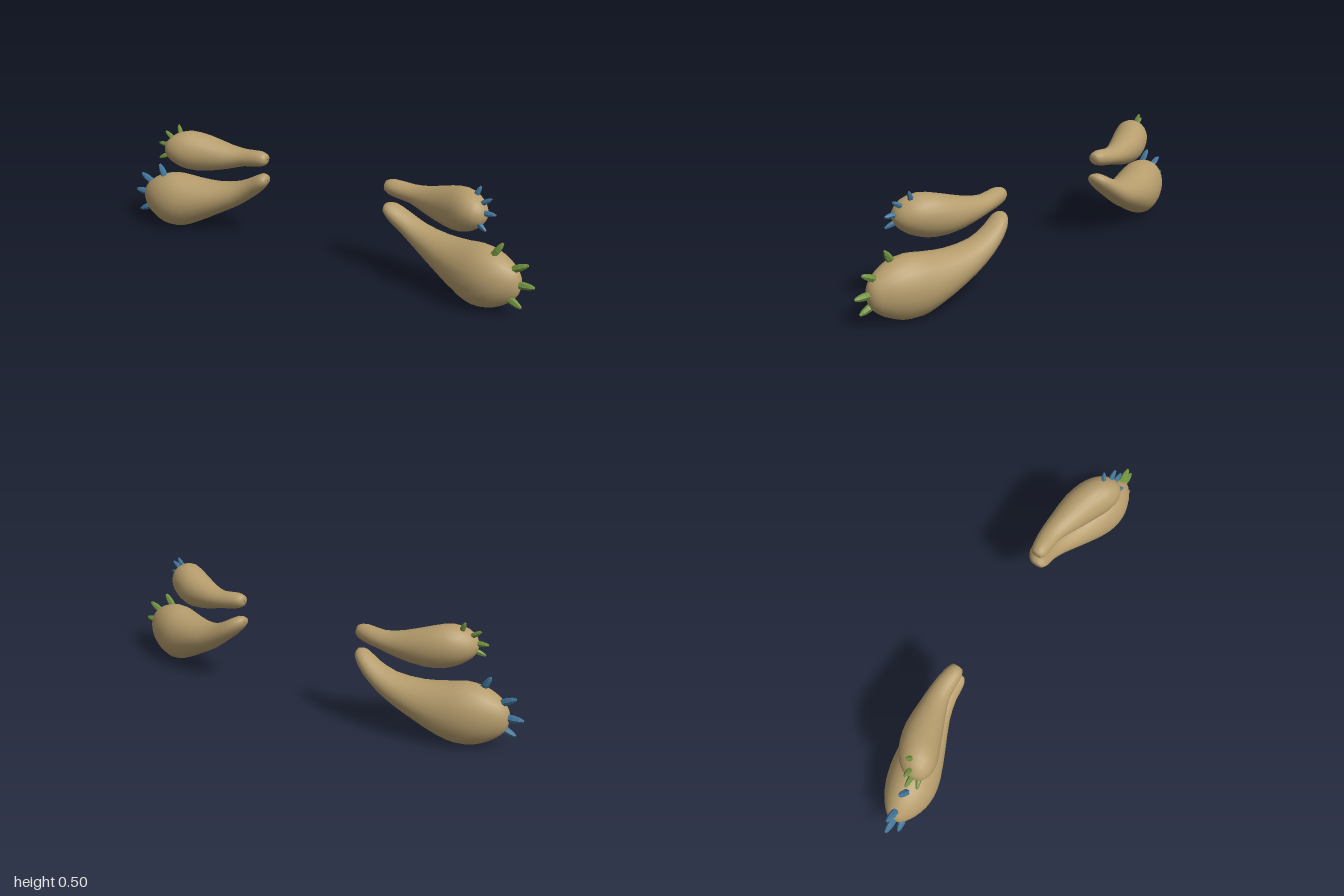
import * as THREE from 'three';

const tan = new THREE.MeshStandardMaterial({ color: 0xb59c6c });
tan.name = 'tan skin';
const green = new THREE.MeshStandardMaterial({ color: 0x72923f, flatShading: true });
green.name = 'green claw';
const blue = new THREE.MeshStandardMaterial({ color: 0x42769a, flatShading: true });
blue.name = 'blue claw';

// Cross-sections from wrist to paw: [x, bottom y, top y, back z, front z]
const LOWER = [
  [0.298, 0.298, 0.302, -0.052, -0.048], [0.303, 0.277, 0.319, -0.078, -0.020],
  [0.335, 0.240, 0.322, -0.105, -0.008], [0.39, 0.195, 0.293, -0.121, -0.008],
  [0.47, 0.138, 0.257, -0.126, 0.010], [0.58, 0.078, 0.241, -0.126, 0.060],
  [0.69, 0.022, 0.251, -0.115, 0.108], [0.757, 0.003, 0.262, -0.102, 0.125],
  [0.82, 0.010, 0.256, -0.080, 0.124], [0.875, 0.036, 0.234, -0.050, 0.108],
  [0.915, 0.068, 0.205, -0.017, 0.085], [0.935, 0.098, 0.178, 0.007, 0.064],
  [0.942, 0.136, 0.140, 0.034, 0.036],
];
const UPPER = [
  [0.298, 0.397, 0.401, -0.052, -0.048], [0.303, 0.374, 0.421, -0.075, -0.025],
  [0.34, 0.358, 0.430, -0.090, -0.013], [0.42, 0.345, 0.423, -0.100, -0.009],
  [0.50, 0.322, 0.435, -0.101, 0.022], [0.607, 0.302, 0.469, -0.095, 0.073],
  [0.68, 0.306, 0.485, -0.073, 0.105], [0.735, 0.329, 0.472, -0.042, 0.108],
  [0.768, 0.356, 0.447, -0.008, 0.092], [0.782, 0.378, 0.425, 0.018, 0.068],
  [0.787, 0.399, 0.403, 0.041, 0.045],
];

// Claws: [base xyz, tip xyz]
const LOWER_CLAWS = [
  [0.818, 0.235, 0.042, 0.856, 0.298, 0.034], [0.897, 0.197, 0.040, 0.965, 0.233, 0.039],
  [0.92, 0.144, 0.042, 1.0, 0.147, 0.045], [0.89, 0.093, 0.060, 0.962, 0.062, 0.071],
];
const UPPER_CLAWS = [
  [0.722, 0.455, 0.024, 0.743, 0.505, 0.013], [0.752, 0.440, 0.041, 0.799, 0.472, 0.040],
  [0.768, 0.415, 0.055, 0.827, 0.417, 0.057], [0.755, 0.380, 0.070, 0.803, 0.358, 0.090],
];

// Smooth closed skin of elliptical rings through the sections
function limbGeometry(sections, side) {
  const centre = new THREE.CatmullRomCurve3(sections.map(([x, b, t, k, f]) => new THREE.Vector3(x, (b + t) / 2, (k + f) / 2)));
  const radius = new THREE.CatmullRomCurve3(sections.map(([x, b, t, k, f]) => new THREE.Vector3(x, (t - b) / 2, (f - k) / 2)));
  const rings = (sections.length - 1) * 2, around = 22, pos = [], index = [];
  for (let i = 0; i <= rings; i++) {
    const c = centre.getPoint(i / rings), r = radius.getPoint(i / rings);
    for (let j = 0; j < around; j++) {
      const a = j / around * Math.PI * 2;
      pos.push(side * c.x, c.y + Math.max(r.y, 0.001) * Math.cos(a), c.z + Math.max(r.z, 0.001) * Math.sin(a));
      if (i === rings) continue;
      const p = i * around + j, q = i * around + (j + 1) % around;
      const tris = [p, q, p + around, q, q + around, p + around];
      index.push(...(side > 0 ? tris : tris.reverse()));
    }
  }
  const g = new THREE.BufferGeometry();
  g.setAttribute('position', new THREE.Float32BufferAttribute(pos, 3));
  g.setIndex(index);
  g.computeVertexNormals();
  return g;
}

// Blunt faceted claw from base to tip
function claw([bx, by, bz, tx, ty, tz], side, width, material) {
  const base = new THREE.Vector3(side * bx, by, bz), tip = new THREE.Vector3(side * tx, ty, tz);
  const dir = tip.clone().sub(base), len = dir.length();
  const profile = [[0, 0], [width, 0], [width, len * 0.5], [width * 0.75, len * 0.8], [width * 0.35, len], [0, len]];
  const mesh = new THREE.Mesh(new THREE.LatheGeometry(profile.map(([x, y]) => new THREE.Vector2(x, y)), 6), material);
  mesh.position.copy(base);
  mesh.quaternion.setFromUnitVectors(new THREE.Vector3(0, 1, 0), dir.normalize());
  return mesh;
}

function limb(name, sections, claws, side, width, material) {
  const group = new THREE.Group();
  group.name = name;
  const skin = new THREE.Mesh(limbGeometry(sections, side), tan);
  skin.name = name + 'Skin';
  group.add(skin);
  claws.forEach((c, i) => {
    const m = claw(c, side, width, material);
    m.name = name + 'Claw' + (i + 1);
    group.add(m);
  });
  return group;
}

export function createModel() {
  const model = new THREE.Group();
  model.name = 'clawedLimbs';
  // Claw colours swap between the two sides
  for (const side of [1, -1]) {
    const label = side > 0 ? 'left' : 'right';
    model.add(limb(label + 'Leg', LOWER, LOWER_CLAWS, side, 0.015, side > 0 ? green : blue));
    model.add(limb(label + 'Arm', UPPER, UPPER_CLAWS, side, 0.011, side > 0 ? blue : green));
  }
  return model;
}
